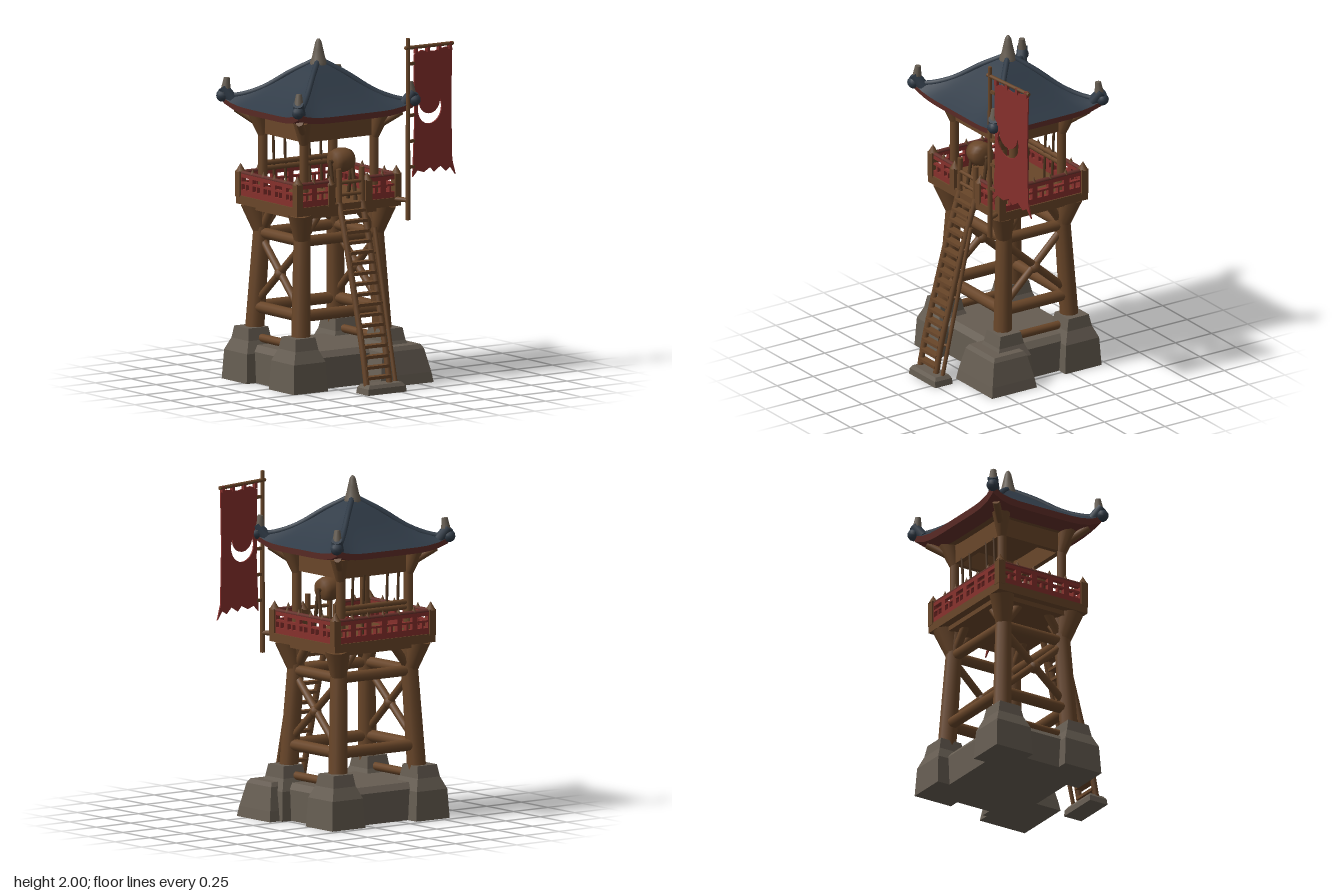
import * as THREE from 'three';

const M = {};
const colours = { wood: 0x694629, darkWood: 0x50361f, stone: 0x665d52, slate: 0x303b47, red: 0x86302c, darkRed: 0x64302a };
const CX = -0.105, CZ = 0.14; // tower axis
const V = (x, y, z) => new THREE.Vector3(x, y, z);
const SIGNS = [[-1, -1], [1, -1], [1, 1], [-1, 1]];

function add(parent, name, geo, mat, x = 0, y = 0, z = 0) {
  const m = new THREE.Mesh(geo, mat);
  m.name = name;
  m.position.set(x, y, z);
  parent.add(m);
  return m;
}
const box = (p, name, mat, w, h, d, x, y, z) => add(p, name, new THREE.BoxGeometry(w, h, d), mat, x, y, z);

// Round beam between two points
function beam(p, name, mat, a, b, r0, r1 = r0) {
  const dir = b.clone().sub(a);
  const m = add(p, name, new THREE.CylinderGeometry(r1, r0, dir.length(), 10), mat);
  m.position.copy(a).add(b).multiplyScalar(0.5);
  m.quaternion.setFromUnitVectors(V(0, 1, 0), dir.normalize());
  return m;
}

// Tapered stone block: list of [halfX, halfZ, y] square sections
function block(p, name, mat, x, z, sections) {
  const pos = [], idx = [];
  const quad = (a, b, c, d) => {
    const n = pos.length / 3;
    pos.push(...a, ...b, ...c, ...d);
    idx.push(n, n + 1, n + 2, n, n + 2, n + 3);
  };
  const ring = ([hx, hz, y]) => [[-hx, y, hz], [hx, y, hz], [hx, y, -hz], [-hx, y, -hz]];
  for (let i = 0; i < sections.length - 1; i++) {
    const a = ring(sections[i]), b = ring(sections[i + 1]);
    for (let k = 0; k < 4; k++) quad(a[k], a[(k + 1) % 4], b[(k + 1) % 4], b[k]);
  }
  quad(...ring(sections[sections.length - 1]));
  quad(...ring(sections[0]).reverse());
  const g = new THREE.BufferGeometry();
  g.setAttribute('position', new THREE.Float32BufferAttribute(pos, 3));
  g.setIndex(idx);
  g.computeVertexNormals();
  return add(p, name, g, mat, x, 0, z);
}

// One height on the swept roof, with corners lifted and pushed outward
const HX = 0.365, HZ = 0.395;
function roofPoint(h, y, s, k) {
  const corner = Math.pow(Math.abs(s), 6) * Math.pow(h, 4);
  const out = h * (1 + 0.05 * corner);
  let u = s * out, v = out;
  for (let i = 0; i < k; i++) [u, v] = [v, -u];
  return [u * HX, y + 0.045 * corner, v * HZ];
}
function roofSurface(p, name, mat, profile) {
  const n = 12;
  for (let k = 0; k < 4; k++) {
    const pos = [], idx = [];
    profile.forEach(([h, y], i) => {
      for (let j = 0; j <= n; j++) pos.push(...roofPoint(h, y, j / n * 2 - 1, k));
      if (i) for (let j = 0; j < n; j++) {
        const a = (i - 1) * (n + 1) + j, b = a + n + 1;
        idx.push(a, b, b + 1, a, b + 1, a + 1);
      }
    });
    const g = new THREE.BufferGeometry();
    g.setAttribute('position', new THREE.Float32BufferAttribute(pos, 3));
    g.setIndex(idx);
    g.computeVertexNormals();
    add(p, name, g, mat);
  }
}

// Pierced railing panel running along x
function railing(p, length, bays, x, z, turn) {
  const g = new THREE.Group();
  g.name = 'railing';
  const s = new THREE.Shape([[0, 0], [length, 0], [length, 0.13], [0, 0.13]].map(q => new THREE.Vector2(...q)));
  const w = length / bays;
  for (let i = 0; i < bays; i++) {
    const a = i * w + 0.018, b = (i + 1) * w - 0.018, m = (a + b) / 2;
    for (const [l, r, lo, hi] of [[a, m - 0.006, 0.035, 0.068], [m + 0.006, b, 0.035, 0.068], [a, b, 0.08, 0.105]])
      s.holes.push(new THREE.Path([[l, lo], [l, hi], [r, hi], [r, lo]].map(q => new THREE.Vector2(...q))));
  }
  add(g, 'railingPanel', new THREE.ExtrudeGeometry(s, { depth: 0.024, bevelEnabled: false }), M.red, -length / 2, 1.07, -0.012);
  beam(g, 'handrail', M.darkRed, V(-length / 2, 1.2, 0), V(length / 2, 1.2, 0), 0.013);
  for (let i = 1; i < bays; i++) add(g, 'railingKnob', new THREE.ConeGeometry(0.014, 0.035, 8), M.wood, -length / 2 + i * w, 1.22, 0);
  g.position.set(x, 0, z);
  g.rotation.y = turn;
  p.add(g);
}
function railPost(p, x, z, h = 0.15) {
  box(p, 'railPost', M.wood, 0.045, h, 0.045, x, 1.06 + h / 2, z);
  add(p, 'postCap', new THREE.ConeGeometry(0.03, 0.05, 8), M.wood, x, 1.08 + h, z);
}

export function createModel() {
  for (const [n, c] of Object.entries(colours)) M[n] = new THREE.MeshStandardMaterial({ color: c, name: n });
  M.red.side = THREE.DoubleSide;
  const model = new THREE.Group();
  const tower = new THREE.Group();
  tower.name = 'tower';
  tower.position.set(CX, 0, CZ);
  model.add(tower);

  // Stone footing
  block(tower, 'footing', M.stone, 0, 0, [[0.28, 0.36, 0], [0.28, 0.36, 0.18], [0.25, 0.33, 0.215]]);
  for (const [sx, sz] of SIGNS)
    block(tower, 'footingPad', M.stone, sx * 0.235, sz * 0.305, [[0.125, 0.12, 0], [0.115, 0.11, 0.17], [0.085, 0.08, 0.24], [0.07, 0.07, 0.31]]);
  block(model, 'stoneStep', M.stone, 0.185, -0.17, [[0.155, 0.185, 0], [0.145, 0.175, 0.06], [0.115, 0.145, 0.195], [0.1, 0.13, 0.22]]);

  // Splayed legs with flared heads
  const leg = (sx, sz, y) => V(sx * (0.245 - 0.05 * y), y, sz * (0.3 - 0.05 * y));
  for (const [sx, sz] of SIGNS) {
    beam(tower, 'leg', M.wood, leg(sx, sz, 0.2), leg(sx, sz, 1.02), 0.056, 0.047);
    beam(tower, 'legHead', M.wood, leg(sx, sz, 0.86), V(sx * 0.235, 1.03, sz * 0.29), 0.045, 0.075);
    const low = leg(sx, sz, 0.86);
    beam(tower, 'kneeBrace', M.wood, low, V(sx * 0.09, 1.02, sz * 0.26), 0.025);
    beam(tower, 'kneeBrace', M.wood, low, V(sx * 0.2, 1.02, sz * 0.13), 0.025);
  }
  // Cross beams and diagonal braces
  for (const s of [-1, 1]) {
    for (const [y, r] of [[0.25, 0.024], [0.425, 0.034], [0.855, 0.032]]) {
      beam(tower, 'crossBeam', M.wood, leg(-1, s, y), leg(1, s, y), r);
      if (y > 0.3) beam(tower, 'sideBeam', M.wood, leg(s, -1, y), leg(s, 1, y), r);
    }
    for (const d of [-1, 1]) beam(tower, 'diagonalBrace', M.wood, leg(-d, s, 0.45), leg(d, s, 0.83), 0.022);
    add(tower, 'braceKnot', new THREE.SphereGeometry(0.036, 10, 8), M.wood, 0, 0.64, s * 0.268);
  }

  // Deck
  box(tower, 'deckFrame', M.wood, 0.52, 0.035, 0.64, 0, 1.01, 0);
  box(tower, 'deck', M.wood, 0.61, 0.05, 0.73, 0, 1.045, 0);

  // Railings, with a gap on the ladder side
  const RX = 0.285, RZ = 0.345;
  railing(tower, 0.55, 5, 0, RZ, 0);
  railing(tower, 0.55, 5, 0, -RZ, Math.PI);
  railing(tower, 0.67, 6, -RX, 0, -Math.PI / 2);
  railing(tower, 0.22, 2, RX, 0.235, Math.PI / 2);
  railing(tower, 0.2, 2, RX, -0.245, Math.PI / 2);
  for (const [sx, sz] of SIGNS) railPost(tower, sx * RX, sz * RZ);
  railPost(tower, RX, 0.12, 0.13);
  railPost(tower, RX, -0.14, 0.13);

  // Upper posts and head beams
  for (const [sx, sz] of SIGNS) {
    const x = sx * 0.205, z = sz * 0.245;
    beam(tower, 'upperPost', M.wood, V(x, 1.06, z), V(x, 1.56, z), 0.027);
    beam(tower, 'postBracket', M.wood, V(x, 1.42, z), V(x * 1.12, 1.56, z * 1.12), 0.027, 0.055);
    beam(tower, 'eaveStrut', M.wood, V(x, 1.47, z), V(x * 1.55, 1.57, z * 1.45), 0.022);
  }
  for (const s of [-1, 1]) {
    box(tower, 'headBeam', M.wood, 0.4, 0.12, 0.03, 0, 1.49, s * 0.235);
    box(tower, 'headBeam', M.wood, 0.03, 0.12, 0.48, s * 0.2, 1.49, 0);
  }

  // Swept roof, rim and underside
  roofSurface(tower, 'roof', M.slate, [[0.03, 1.86], [0.15, 1.83], [0.3, 1.785], [0.45, 1.735], [0.6, 1.69], [0.75, 1.648], [0.9, 1.613], [1, 1.592]]);
  roofSurface(tower, 'eaveRim', M.darkRed, [[1, 1.592], [0.975, 1.555]]);
  roofSurface(tower, 'roofUnderside', M.darkRed, [[0.975, 1.555], [0.85, 1.548], [0.7, 1.54]]);
  roofSurface(tower, 'ceiling', M.wood, [[0.7, 1.54], [0.35, 1.54], [0.001, 1.54]]);
  for (const [sx, sz] of SIGNS) {
    const ridge = [[0.06, 1.85], [0.3, 1.785], [0.6, 1.69], [0.85, 1.645], [1.03, 1.637]].map(([h, y]) => V(sx * h * HX, y, sz * h * HZ));
    add(tower, 'hipRidge', new THREE.TubeGeometry(new THREE.CatmullRomCurve3(ridge), 16, 0.017, 8), M.slate);
    // Upturned corner horn
    const at = (h, y) => V(sx * h * HX, y, sz * h * HZ);
    beam(tower, 'cornerHorn', M.slate, at(0.93, 1.62), at(1.03, 1.69), 0.034, 0.031);
    beam(tower, 'cornerHorn', M.stone, at(1.0, 1.66), at(0.985, 1.745), 0.031, 0.017);
    add(tower, 'hornTip', new THREE.SphereGeometry(0.036, 10, 8), M.slate, sx * 1.035 * HX, 1.64, sz * 1.035 * HZ);
  }
  const spike = [[0.052, 1.825], [0.05, 1.85], [0.038, 1.875], [0.028, 1.92], [0.018, 1.965], [0.008, 1.982], [0, 1.984]];
  add(tower, 'roofSpike', new THREE.LatheGeometry(spike.map(q => new THREE.Vector2(...q)), 12), M.stone);

  // Drum on a stand
  const drum = [[0, -0.062], [0.055, -0.062], [0.068, -0.03], [0.072, 0], [0.068, 0.03], [0.055, 0.062], [0, 0.062]];
  add(model, 'drum', new THREE.LatheGeometry(drum.map(q => new THREE.Vector2(...q)), 18), M.wood, 0.1, 1.305, 0.125).rotation.x = Math.PI / 2;
  for (const z of [0.05, 0.2]) {
    for (const x of [0.06, 0.14]) beam(model, 'drumStandLeg', M.darkWood, V(x, 1.06, z), V(0.1, 1.3, z), 0.011);
  }
  beam(model, 'drumAxle', M.darkWood, V(0.1, 1.3, 0.045), V(0.1, 1.3, 0.205), 0.012);

  // Pole rack along the left-hand wall
  for (const y of [1.225, 1.255]) beam(model, 'rackRail', M.wood, V(-0.31, y, -0.1), V(-0.31, y, 0.38), 0.016);
  for (const z of [-0.02, 0.06, 0.23, 0.31]) beam(model, 'rackPole', M.darkWood, V(-0.3, 1.06, z), V(-0.315, 1.44, z), 0.008);

  // Ladder
  const path = z => new THREE.CatmullRomCurve3([[0.185, 1.08], [0.25, 0.88], [0.355, 0.5], [0.425, 0.23], [0.465, 0.03]].map(([x, y]) => V(x, y, z)));
  for (const z of [0.2, 0.04]) {
    add(model, 'ladderRail', new THREE.TubeGeometry(path(z), 20, 0.018, 8), M.wood);
    beam(model, 'ladderPost', M.wood, V(0.19, 1.04, z), V(0.185, 1.27, z), 0.016);
  }
  const centre = path(0.12);
  for (let i = 1; i < 18; i++) {
    const q = centre.getPointAt(i / 18);
    box(model, 'rung', M.wood, 0.045, 0.018, 0.16, q.x, q.y, q.z);
  }
  for (const y of [1.12, 1.19]) beam(model, 'gateRung', M.wood, V(0.188, y, 0.04), V(0.188, y, 0.2), 0.011);
  beam(model, 'ladderHandrail', M.wood, V(0.25, 0.92, -0.005), V(0.45, 0.05, -0.01), 0.012);
  for (const y of [0.22, 0.5, 0.78]) beam(model, 'handrailTie', M.wood, V(0.455 - 0.24 * y, y, -0.008), V(0.465 - 0.24 * y, y, 0.04), 0.008);
  block(model, 'ladderFoot', M.stone, 0.46, 0.095, [[0.06, 0.135, 0], [0.058, 0.13, 0.035], [0.045, 0.115, 0.055]]);

  // Banner on its pole
  const banner = new THREE.Group();
  banner.name = 'banner';
  banner.position.set(0.268, 0, -0.225);
  banner.rotation.y = Math.PI / 2 + 0.12;
  model.add(banner);
  beam(banner, 'bannerPole', M.wood, V(0, 0.945, 0), V(0, 2, 0), 0.015, 0.011);
  beam(banner, 'bannerRod', M.wood, V(-0.02, 1.945, 0), V(0.345, 1.935, 0), 0.011);
  const outline = [[0.045, 1.9], [0.1, 1.92], [0.2, 1.905], [0.29, 1.92], [0.338, 1.91], [0.33, 1.6], [0.338, 1.26], [0.365, 1.17], [0.325, 1.22], [0.29, 1.2], [0.25, 1.235], [0.2, 1.205], [0.17, 1.235], [0.12, 1.21], [0.07, 1.225], [0.035, 1.19], [0.05, 1.5]];
  const cloth = new THREE.Shape(outline.map(q => new THREE.Vector2(...q)));
  // Plain crescent opening
  const moon = new THREE.Path();
  moon.absarc(0.165, 1.58, 0.092, Math.PI * 0.8, Math.PI * 2.15, false);
  moon.absarc(0.165, 1.625, 0.078, Math.PI * 2.0, Math.PI * 0.98, true);
  cloth.holes.push(moon);
  add(banner, 'bannerCloth', new THREE.ExtrudeGeometry(cloth, { depth: 0.008, bevelEnabled: false }), M.red, 0, 0, -0.004);
  for (const x of [0.06, 0.15, 0.24, 0.32]) box(banner, 'rodLoop', M.red, 0.02, 0.04, 0.02, x, 1.925, 0);
  for (const y of [1.25, 1.4, 1.55, 1.7, 1.85]) box(banner, 'poleTie', M.wood, 0.055, 0.018, 0.014, 0.022, y, 0);
  beam(model, 'poleBracket', M.wood, V(0.19, 1.06, -0.19), V(0.268, 1.06, -0.225), 0.014);

  return model;
}
